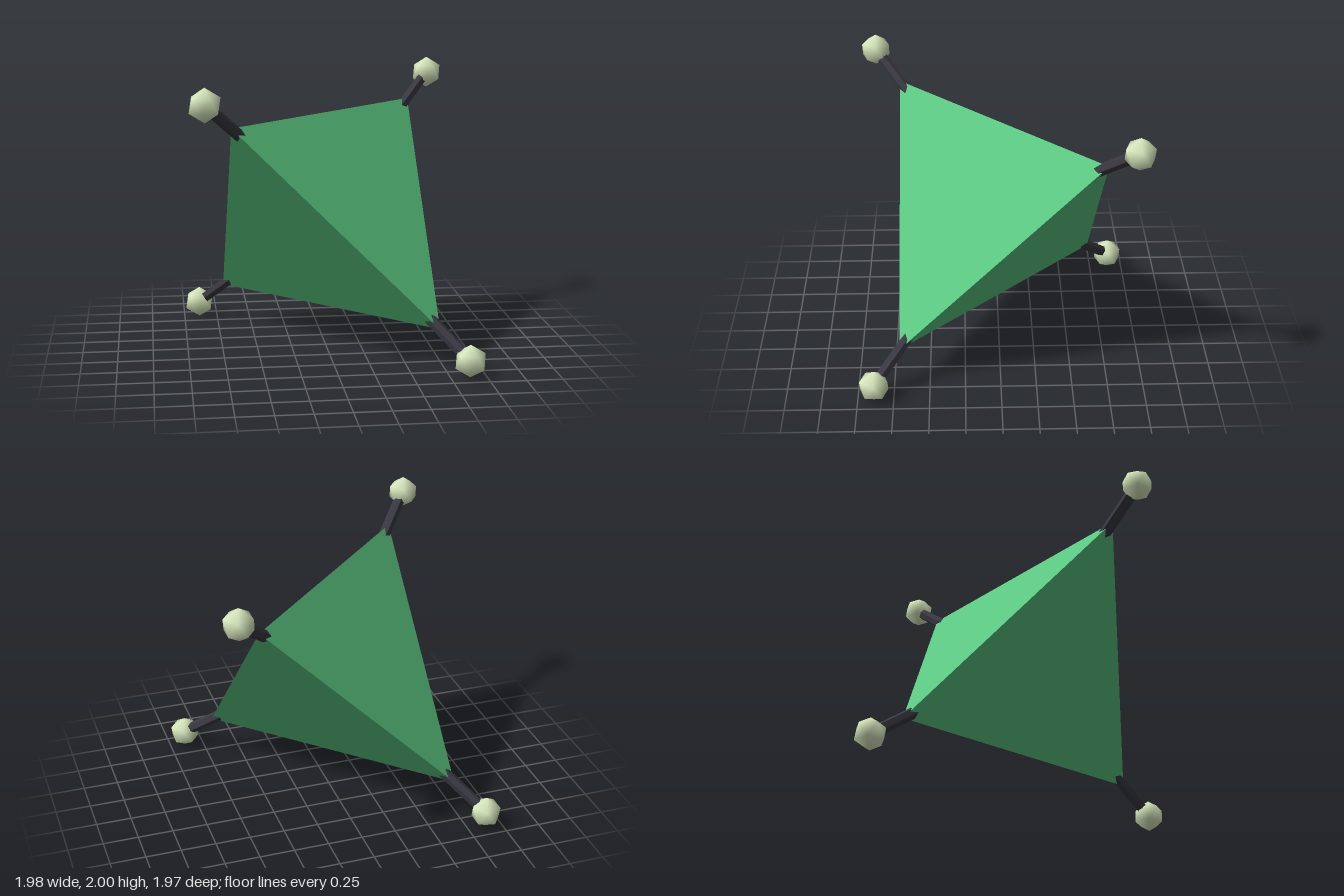
import * as THREE from 'three';

const HALF = 0.707;        // half-width of the body's bounding cube
const BALL_POS = 0.885;    // ball centre on each axis
const BALL_RADIUS = 0.115;

// Icosahedron standing on a vertex, with smooth normals
function ballGeometry() {
  const geometry = new THREE.IcosahedronGeometry(BALL_RADIUS, 0);
  geometry.rotateX(-Math.atan((1 + Math.sqrt(5)) / 2));
  geometry.rotateY(Math.PI / 2);
  const pos = geometry.attributes.position;
  const v = new THREE.Vector3();
  for (let i = 0; i < pos.count; i++) {
    v.fromBufferAttribute(pos, i).normalize();
    geometry.attributes.normal.setXYZ(i, v.x, v.y, v.z);
  }
  return geometry;
}

export function createModel() {
  const model = new THREE.Group();
  model.name = 'tetrahedron with knobs';

  const green = new THREE.MeshStandardMaterial({ color: 0x5bc882, flatShading: true });
  const dark = new THREE.MeshStandardMaterial({ color: 0x3a3842, flatShading: true });
  const pale = new THREE.MeshStandardMaterial({ color: 0xdcedc1 });

  // Body
  const bodyGeometry = new THREE.TetrahedronGeometry(HALF * Math.sqrt(3), 0);
  bodyGeometry.rotateY(Math.PI / 2);
  const body = new THREE.Mesh(bodyGeometry, green);
  body.name = 'body';
  body.position.y = 1;
  model.add(body);

  // A strut and ball on each corner
  const start = 0.62 * Math.sqrt(3);
  const end = 0.86 * Math.sqrt(3);
  const strutGeometry = new THREE.CylinderGeometry(0.041, 0.041, end - start, 6);
  strutGeometry.translate(0, (start + end) / 2, 0);
  const ballGeo = ballGeometry();
  const up = new THREE.Vector3(0, 1, 0);

  for (const [x, y, z] of [[1, 1, -1], [1, -1, 1], [-1, 1, 1], [-1, -1, -1]]) {
    const corner = new THREE.Group();
    corner.name = 'corner';
    corner.position.y = 1;
    const direction = new THREE.Vector3(x, y, z);

    const strut = new THREE.Mesh(strutGeometry, dark);
    strut.name = 'strut';
    strut.quaternion.setFromUnitVectors(up, direction.clone().normalize());

    const ball = new THREE.Mesh(ballGeo, pale);
    ball.name = 'ball';
    ball.position.copy(direction).multiplyScalar(BALL_POS);

    corner.add(strut, ball);
    model.add(corner);
  }
  return model;
}
